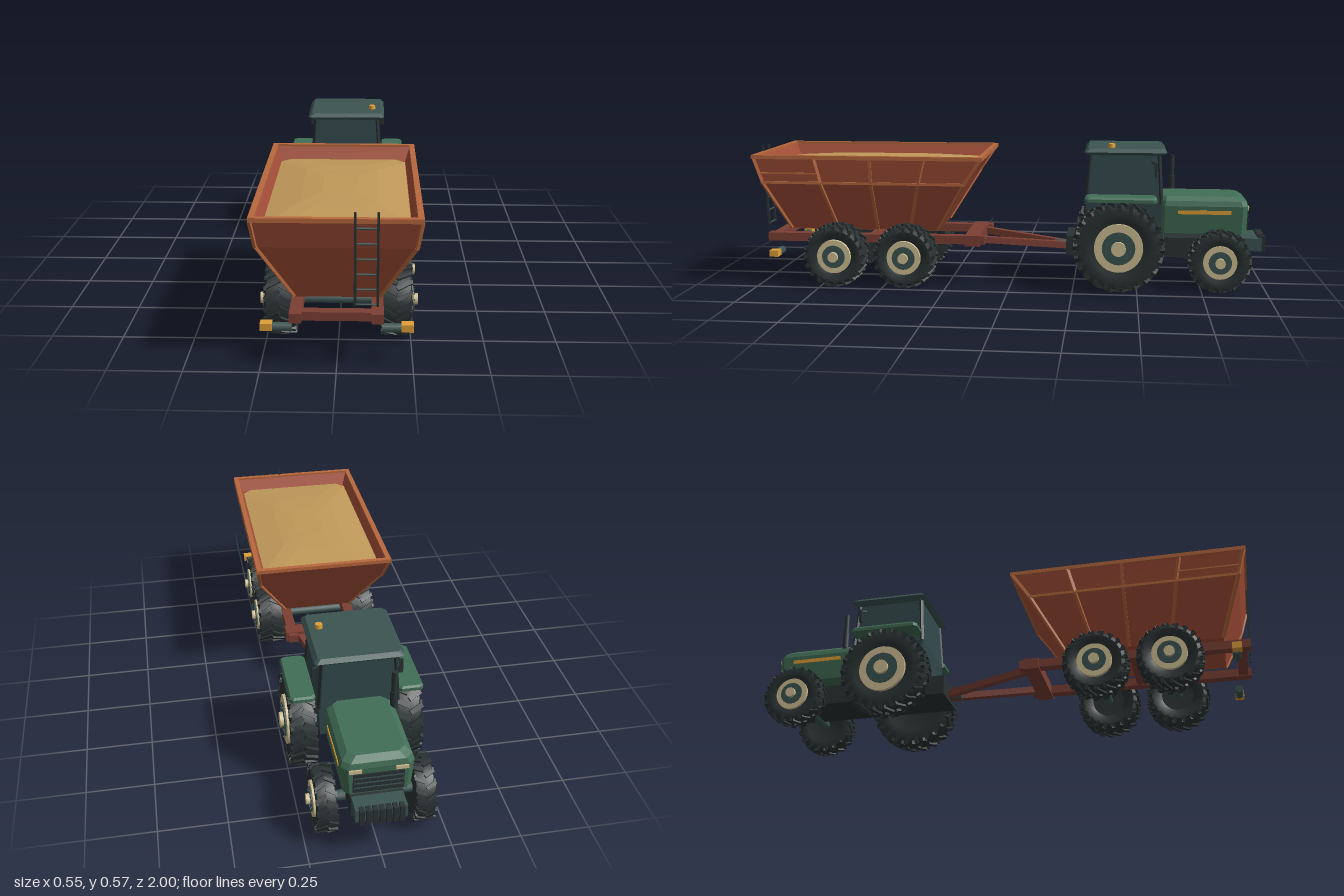
import * as THREE from 'three';
import { mergeGeometries, toCreasedNormals } from 'three/addons/utils/BufferGeometryUtils.js';

const mat = (name, color) => Object.assign(new THREE.MeshStandardMaterial({ color }), { name });

// Horizontal ring, counter-clockwise from above, with optional cut corners
function ring(hx, y, z0, z1, c = 0) {
  if (!c) return [[-hx, y, z1], [hx, y, z1], [hx, y, z0], [-hx, y, z0]];
  return [[-hx + c, y, z1], [hx - c, y, z1], [hx, y, z1 - c], [hx, y, z0 + c],
    [hx - c, y, z0], [-hx + c, y, z0], [-hx, y, z0 + c], [-hx, y, z1 - c]];
}

// Flat-faced skin through a stack of rings, closed at both ends
function loft(rings) {
  const pos = [], tri = (a, b, c) => pos.push(...a, ...b, ...c);
  const n = rings[0].length, top = rings[rings.length - 1];
  for (let i = 0; i + 1 < rings.length; i++) {
    for (let j = 0; j < n; j++) {
      const k = (j + 1) % n, a = rings[i], b = rings[i + 1];
      tri(a[j], a[k], b[k]);
      tri(a[j], b[k], b[j]);
    }
  }
  for (let j = 1; j + 1 < n; j++) {
    tri(rings[0][0], rings[0][j + 1], rings[0][j]);
    tri(top[0], top[j], top[j + 1]);
  }
  const g = new THREE.BufferGeometry();
  g.setAttribute('position', new THREE.Float32BufferAttribute(pos, 3));
  g.computeVertexNormals();
  return g;
}

// Box by its limits
function box(x0, x1, y0, y1, z0, z1) {
  return new THREE.BoxGeometry(x1 - x0, y1 - y0, z1 - z0)
    .translate((x0 + x1) / 2, (y0 + y1) / 2, (z0 + z1) / 2);
}

// Square bar between two points
function bar(p, q, w) {
  const a = new THREE.Vector3(...p), b = new THREE.Vector3(...q);
  const o = new THREE.Object3D();
  o.position.copy(a).add(b).multiplyScalar(0.5);
  o.lookAt(b);
  o.updateMatrix();
  return new THREE.BoxGeometry(w, w, a.distanceTo(b)).applyMatrix4(o.matrix);
}

// Cylinder lying along x
const rod = (r, x0, x1, y, z, n = 16) => new THREE.CylinderGeometry(r, r, x1 - x0, n)
  .rotateZ(-Math.PI / 2).translate((x0 + x1) / 2, y, z);

export function createModel() {
  const model = new THREE.Group();
  const green = mat('body green', 0x426e56), teal = mat('dark teal', 0x3b5451);
  const glass = mat('tinted glass', 0x32484b), rubber = mat('tyre rubber', 0x2a3233);
  const red = mat('hopper red', 0xa85039), rust = mat('chassis rust', 0x7c4034);
  const trim = mat('rim orange', 0xb8683d), grainTan = mat('grain tan', 0xc0995a);
  const cream = mat('hub cream', 0xd2c296), amber = mat('lamp amber', 0xe0a038);

  const add = (name, geo, material, parent = model) => {
    const list = Array.isArray(geo) ? geo : [geo];
    const m = new THREE.Mesh(list.length > 1 ? mergeGeometries(list) : list[0], material);
    m.name = name;
    parent.add(m);
  };

  // Wheel with chevron lugs, outer face towards +x
  function wheel(name, R, w, x, y, z, lugs) {
    const prof = [[0.001, -0.36], [0.5, -0.38], [0.62, -0.47], [0.82, -0.5], [0.92, -0.44], [0.945, -0.2],
      [0.945, 0.2], [0.92, 0.44], [0.82, 0.5], [0.62, 0.47], [0.5, 0.38], [0.001, 0.36]];
    const tyre = toCreasedNormals(new THREE.LatheGeometry(
      prof.map(([r, h]) => new THREE.Vector2(r * R, h * w)), 40).rotateZ(-Math.PI / 2), 0.5);
    const treads = [];
    for (let i = 0; i < lugs; i++) {
      for (const s of [-1, 1]) {
        const a = ((i + (s > 0 ? 0.5 : 0)) / lugs) * Math.PI * 2;
        treads.push(new THREE.BoxGeometry(w * 0.56, R * 0.09, R * 0.1)
          .rotateZ(-s * 0.07).rotateY(s * 0.5).translate(s * w * 0.25, R * 0.945, 0).rotateX(a));
        treads.push(new THREE.BoxGeometry(w * 0.1, R * 0.2, R * 0.09)
          .translate(s * w * 0.46, R * 0.86, -R * 0.13).rotateX(a));
      }
    }
    const bolts = [];
    for (let i = 0; i < 10; i++) {
      const a = (i / 10) * Math.PI * 2;
      bolts.push(rod(R * 0.03, w * 0.4, w * 0.5 + 0.011, Math.cos(a) * R * 0.29, Math.sin(a) * R * 0.29, 6));
    }
    for (const side of [1, -1]) {
      const g = new THREE.Group();
      g.name = name + (side > 0 ? 'Left' : 'Right');
      add('tyre', tyre, rubber, g);
      add('tread', treads, rubber, g);
      add('rim', rod(R * 0.53, w * 0.3, w * 0.5 + 0.004, 0, 0, 28), cream, g);
      add('hubDisc', rod(R * 0.36, w * 0.3, w * 0.5 + 0.008, 0, 0, 24), teal, g);
      add('bolts', bolts, teal, g);
      add('hubCap', rod(R * 0.16, w * 0.3, w * 0.5 + 0.022, 0, 0, 14), cream, g);
      g.position.set(side * x, y, z);
      if (side < 0) g.rotation.y = Math.PI;
      model.add(g);
    }
  }
  wheel('trailerRearWheel', 0.125, 0.105, 0.199, 0.128, 0.685, 20);
  wheel('trailerFrontWheel', 0.125, 0.105, 0.199, 0.128, 0.407, 20);
  wheel('tractorRearWheel', 0.177, 0.096, 0.197, 0.182, -0.427, 22);
  wheel('tractorFrontWheel', 0.122, 0.072, 0.173, 0.126, -0.815, 18);

  // Hopper: outer walls, lip, then inner walls down to the grain
  add('hopper', loft([ring(0.14, 0.22, 0.285, 0.885), ring(0.255, 0.42, 0.165, 0.962),
    ring(0.27, 0.52, 0.1, 0.99), ring(0.256, 0.52, 0.114, 0.976), ring(0.24, 0.47, 0.137, 0.955)]), red);
  add('grain', loft([ring(0.238, 0.465, 0.139, 0.953, 0.035), ring(0.238, 0.476, 0.139, 0.953, 0.035),
    ring(0.13, 0.496, 0.3, 0.78, 0.05), ring(0.06, 0.503, 0.42, 0.66, 0.03)]), grainTan);
  add('hopperRim', [
    box(-0.275, 0.275, 0.513, 0.528, 0.093, 0.112), box(-0.275, 0.275, 0.513, 0.528, 0.977, 0.996),
    box(-0.275, -0.255, 0.513, 0.528, 0.112, 0.977), box(0.255, 0.275, 0.513, 0.528, 0.112, 0.977)], trim);

  // Ribs: [z at top, z at fold, z at bottom]; first and last follow the corners
  const ribs = [], corners = [];
  for (const s of [-1, 1]) {
    [[0.988, 0.96, 0.883], [0.75, 0.73, 0.69], [0.53, 0.53, 0.53], [0.32, 0.345, 0.4],
      [0.102, 0.167, 0.287]].forEach(([a, b, c], i) => {
      const out = i % 4 ? ribs : corners;
      out.push(bar([s * 0.269, 0.515, a], [s * 0.255, 0.42, b], 0.012));
      out.push(bar([s * 0.255, 0.42, b], [s * 0.14, 0.222, c], 0.012));
    });
    ribs.push(bar([s * 0.256, 0.42, 0.167], [s * 0.256, 0.42, 0.96], 0.01));
    ribs.push(bar([s * 0.261, 0.457, 0.735], [s * 0.261, 0.457, 0.97], 0.006));
  }
  add('hopperRibs', ribs, trim);
  add('hopperCorners', corners, trim);

  // Trailer chassis and drawbar
  const chassis = [box(-0.115, 0.115, 0.17, 0.2, 0.93, 0.965), box(-0.16, 0.16, 0.16, 0.203, 0.12, 0.18),
    box(-0.115, 0.115, 0.17, 0.198, 0.53, 0.57)];
  for (const s of [-1, 1]) {
    chassis.push(box(s * 0.1325 - 0.02, s * 0.1325 + 0.02, 0.167, 0.2, 0.1, 0.98));
    chassis.push(bar([s * 0.105, 0.182, 0.15], [s * 0.014, 0.145, -0.23], 0.026));
  }
  add('trailerChassis', chassis, rust);
  add('trailerAxles', [0.407, 0.685].map((z) => rod(0.018, -0.16, 0.16, 0.128, z, 8)), teal);
  add('hitchPin', new THREE.CylinderGeometry(0.017, 0.017, 0.07, 12).rotateX(Math.PI / 2).translate(0, 0.148, -0.205), teal);
  add('lampArms', [-1, 1].map((s) => rod(0.016, s * 0.182 - 0.034, s * 0.182 + 0.034, 0.13, 0.926, 8)), teal);
  add('rearLamps', [-1, 1].map((s) => box(s * 0.231 - 0.02, s * 0.231 + 0.02, 0.122, 0.147, 0.91, 0.945)), amber);

  // Ladder
  add('ladderRails', [0.06, 0.132].map((x) => bar([x, 0.23, 0.981], [x, 0.55, 0.996], 0.008)), rubber);
  const rungs = [];
  for (let i = 0; i < 6; i++) {
    const y = 0.236 + i * 0.052, z = 0.981 + i * 0.0025;
    rungs.push(rod(0.0035, 0.062, 0.13, y, z, 8));
  }
  add('ladderRungs', rungs, teal);

  // Tractor frame, axles and front weights
  add('tractorFrame', box(-0.093, 0.093, 0.12, 0.198, -0.92, -0.22), rubber);
  add('tractorAxles', [rod(0.018, -0.16, 0.16, 0.18, -0.427, 12), rod(0.02, -0.15, 0.15, 0.126, -0.815, 10)], teal);
  add('weightCarrier', box(-0.09, 0.09, 0.15, 0.2, -0.985, -0.91), teal);
  const weights = [];
  for (let i = -3; i <= 3; i++) weights.push(box(i * 0.023 - 0.0085, i * 0.023 + 0.0085, 0.148, 0.208, -1, -0.972));
  add('frontWeights', weights, rubber);

  // Hood with grille, lamps and side stripes
  add('hood', loft([ring(0.118, 0.222, -0.922, -0.585, 0.02), ring(0.126, 0.33, -0.925, -0.585, 0.02),
    ring(0.12, 0.35, -0.92, -0.585, 0.025), ring(0.098, 0.366, -0.895, -0.585, 0.025)]), green);
  add('grille', box(-0.088, 0.088, 0.232, 0.308, -0.929, -0.921), rubber);
  add('grilleBars', [0.25, 0.27, 0.29].map((y) => box(-0.085, 0.085, y, y + 0.004, -0.931, -0.928)), teal);
  add('headlights', [-1, 1].map((s) => box(s * 0.08 - 0.022, s * 0.08 + 0.022, 0.314, 0.328, -0.93, -0.922)), cream);
  add('hoodStripes', [-1, 1].map((s) => box(s * 0.1245 - 0.003, s * 0.1245 + 0.003, 0.299, 0.314, -0.86, -0.655)), amber);
  add('exhaust', [new THREE.CylinderGeometry(0.013, 0.013, 0.07, 10).translate(-0.115, 0.385, -0.64),
    new THREE.CylinderGeometry(0.01, 0.01, 0.085, 10).translate(-0.115, 0.46, -0.64)], rubber);

  // Cab with pillars, roof, beacon and mirrors
  add('cab', loft([ring(0.14, 0.222, -0.59, -0.305), ring(0.145, 0.34, -0.592, -0.298),
    ring(0.132, 0.535, -0.58, -0.312)]), glass);
  const pillars = [], mirrors = [];
  for (const s of [-1, 1]) {
    for (const [a, b] of [[-0.589, -0.577], [-0.301, -0.315]])
      pillars.push(bar([s * 0.143, 0.34, a], [s * 0.13, 0.535, b], 0.012));
    mirrors.push(bar([s * 0.132, 0.505, -0.55], [s * 0.156, 0.495, -0.565], 0.006));
    mirrors.push(box(s * 0.156 - 0.008, s * 0.156 + 0.008, 0.445, 0.5, -0.57, -0.56));
  }
  add('cabPillars', pillars, rubber);
  add('mirrors', mirrors, rubber);
  add('cabRoof', loft([ring(0.145, 0.528, -0.595, -0.3, 0.01), ring(0.162, 0.54, -0.608, -0.29, 0.01),
    ring(0.147, 0.555, -0.595, -0.303, 0.01)]), teal);
  add('beacon', new THREE.CylinderGeometry(0.013, 0.015, 0.017, 12).translate(0.11, 0.562, -0.395), amber);

  // Fenders
  for (const s of [-1, 1]) {
    const f = loft([ring(0.047, 0.358, -0.57, -0.295, 0.012), ring(0.047, 0.37, -0.57, -0.295, 0.012),
      ring(0.042, 0.377, -0.563, -0.302, 0.012)]);
    add(s > 0 ? 'fenderLeft' : 'fenderRight', f.translate(s * 0.198, 0, 0), green);
  }
  return model;
}
